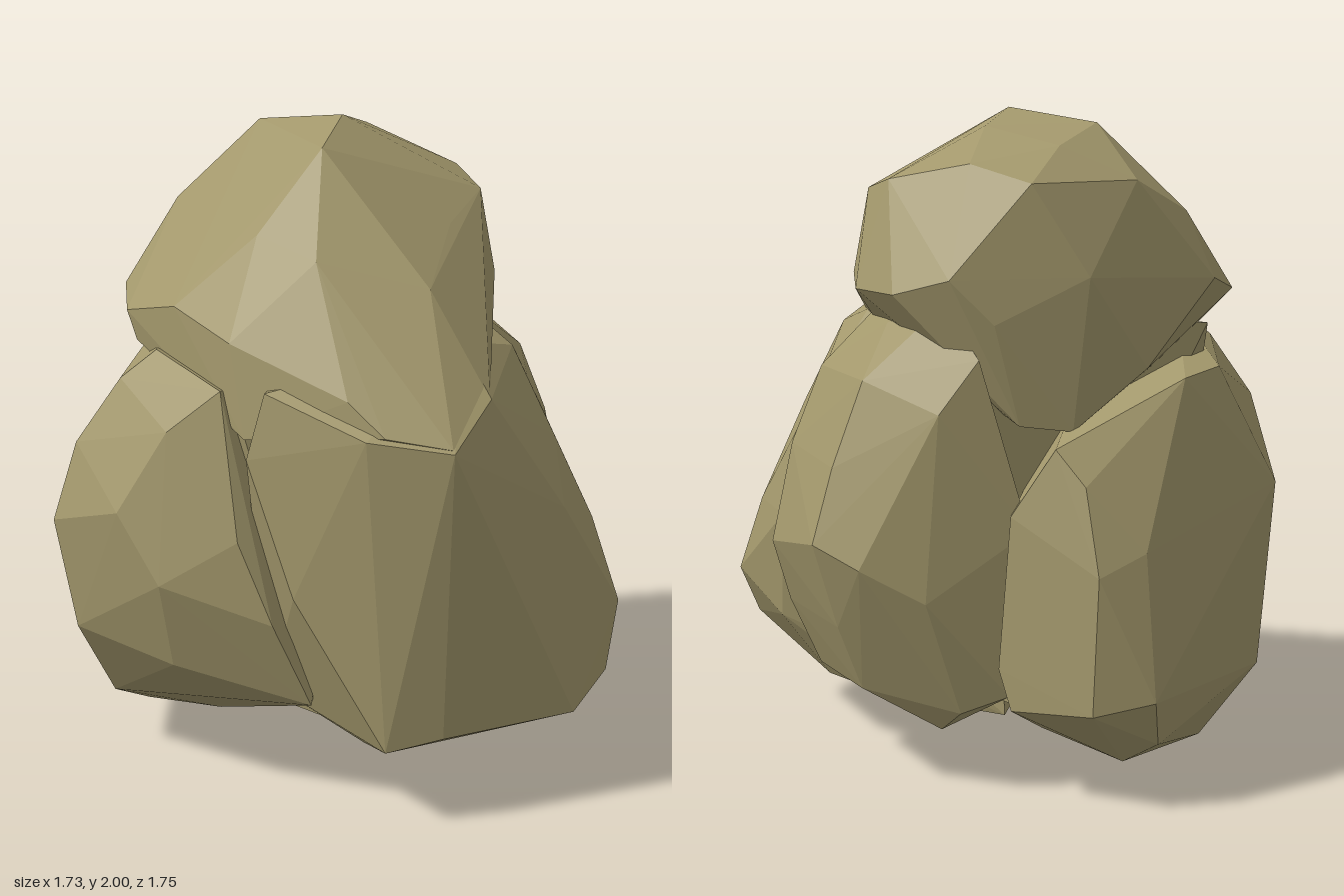
import * as THREE from 'three';
import { ConvexGeometry } from 'three/addons/geometries/ConvexGeometry.js';

// Each boulder is the faceted hull of a few corner points [x, y, z].
const boulders = {
  // tall slab-faced stone at the front
  frontBoulder: [
    [-0.15, 0.25, 0.8], [0.02, 0.28, 0.84], [0.47, 0.28, 0.83], [0.02, 1.17, 0.88],
    [0.2, 1.28, 0.76], [-0.2, 1.2, 0.76], [-0.4, 1.3, 0.5], [-0.45, 1.1, 0.48],
    [-0.36, 0.7, 0.61], [0.78, 0.5, 0.57], [0.68, 0.32, 0.67], [0.74, 0.75, 0.46],
    [0.57, 1.05, 0.5], [0.48, 1.32, 0.38], [0.68, 1.12, 0.15], [0.5, 0.18, 0.55],
    [-0.1, 0.17, 0.55], [0.1, 0.17, 0.1], [0.5, 0.18, 0], [0.3, 0.2, -0.4],
    [0.48, 0.9, 0.72], [0.17, 1.42, 0.62], [0.45, 1.37, 0.25], [0.3, 1.3, -0.3],
    [-0.3, 0.3, 0.3], [0.77, 0.75, 0.2], [0.74, 0.4, 0.3], [0.6, 0.2, 0.25],
  ],
  // overhanging cap stone
  topBoulder: [
    [0.08, 2, 0], [-0.08, 1.96, -0.27], [-0.08, 1.94, 0.2], [0.22, 1.95, -0.12],
    [0.36, 1.85, -0.3], [0.53, 1.8, -0.1], [0.5, 1.76, 0.12], [0.64, 1.48, -0.1],
    [0.61, 1.48, -0.3], [0.5, 1.53, -0.45], [0.54, 1.5, 0.15], [0.5, 1.37, 0.1],
    [0.45, 1.37, 0.27], [0.15, 1.44, 0.63], [0.2, 1.28, 0.75], [0.02, 1.18, 0.87],
    [-0.15, 1.21, 0.78], [-0.22, 1.3, 0.68], [0.1, 1.57, 0.56], [0.3, 1.7, 0.3],
    [-0.2, 1.65, 0.42], [-0.3, 1.7, 0.22], [-0.45, 1.42, 0.36], [-0.44, 1.15, 0.44],
    [-0.52, 1.48, 0.1], [-0.58, 1.42, -0.15], [-0.56, 1.33, -0.12], [-0.5, 1.45, -0.38],
    [-0.36, 1.5, -0.5], [-0.3, 1.7, -0.43], [0.1, 1.9, -0.37], [0.25, 1.8, -0.48],
    [-0.1, 1.8, -0.48], [0.1, 1.53, -0.56], [-0.1, 1.25, -0.55], [0.15, 1.08, -0.55],
    [0.3, 1.1, -0.5], [0.38, 1.4, -0.5], [-0.42, 1.2, -0.1],
  ],
  // broad stone wrapping the back and the -x side
  backBoulder: [
    [-0.33, 0, -0.3], [-0.3, 0.05, -0.12], [-0.1, 0.03, -0.42], [-0.35, 0.06, -0.46],
    [0.05, 0.1, -0.68], [0, 0.18, -0.8], [0.05, 0.33, -0.87], [0.23, 0.3, -0.82],
    [0.4, 0.4, -0.56], [0.38, 0.28, -0.6], [0.2, 0.7, -0.8], [0.05, 0.76, -0.81],
    [0.2, 0.95, -0.72], [0.25, 1.05, -0.63], [0.36, 0.85, -0.56], [-0.87, 0.81, -0.05],
    [-0.82, 0.47, 0], [-0.79, 1.05, -0.05], [-0.66, 1.25, 0], [-0.56, 1.34, 0.05],
    [-0.6, 0.85, -0.49], [-0.55, 0.27, -0.48], [-0.48, 0.85, 0.48], [-0.48, 1.28, 0.36],
    [-0.68, 0.7, 0.35], [-0.62, 0.42, 0.3], [-0.4, 0.6, 0.55], [-0.28, 0.33, 0.56],
    [-0.67, 0.19, -0.1], [-0.5, 0.07, -0.25], [-0.25, 0.14, 0.1], [0.2, 0.16, -0.45],
    [-0.38, 1.23, -0.5], [-0.2, 1.22, -0.6], [-0.76, 0.9, 0.22], [-0.62, 1.15, 0.28],
  ],
  // leaning stone on the +x side
  sideBoulder: [
    [0.86, 0.76, -0.27], [0.85, 0.7, 0.08], [0.79, 0.98, -0.26], [0.78, 1, 0.08],
    [0.78, 0.5, -0.26], [0.78, 0.5, 0.12], [0.7, 0.3, -0.25], [0.69, 0.29, 0.1],
    [0.5, 0.18, -0.38], [0.5, 0.18, 0.1], [0.69, 1.23, -0.26], [0.68, 1.23, 0.08],
    [0.56, 1.38, -0.15], [0.45, 1.44, -0.3], [0.77, 0.7, -0.4], [0.6, 0.6, -0.49],
    [0.55, 1.15, -0.48], [0.42, 1.3, -0.48], [0.62, 0.9, 0.38], [0.45, 1.4, 0.15],
    [0.3, 0.8, -0.56], [0.35, 0.3, -0.53], [0.48, 0.25, -0.47], [0.2, 0.7, 0.2],
  ],
  // hidden stone that closes the gaps between the others
  coreBoulder: [
    [-0.5, 0.3, 0], [-0.2, 0.25, 0.5], [0.4, 0.25, 0.3], [0.3, 0.25, -0.5],
    [-0.45, 1.3, 0.35], [0.35, 1.4, 0.35], [0.4, 1.4, -0.42], [-0.4, 1.35, -0.4],
  ],
};

export function createModel() {
  const group = new THREE.Group();
  group.name = 'rockPile';
  const stone = new THREE.MeshStandardMaterial({ color: 0xa3986c, flatShading: true });
  for (const [name, corners] of Object.entries(boulders)) {
    const points = corners.map((c) => new THREE.Vector3(...c));
    const mesh = new THREE.Mesh(new ConvexGeometry(points), stone);
    mesh.name = name;
    group.add(mesh);
  }
  return group;
}
